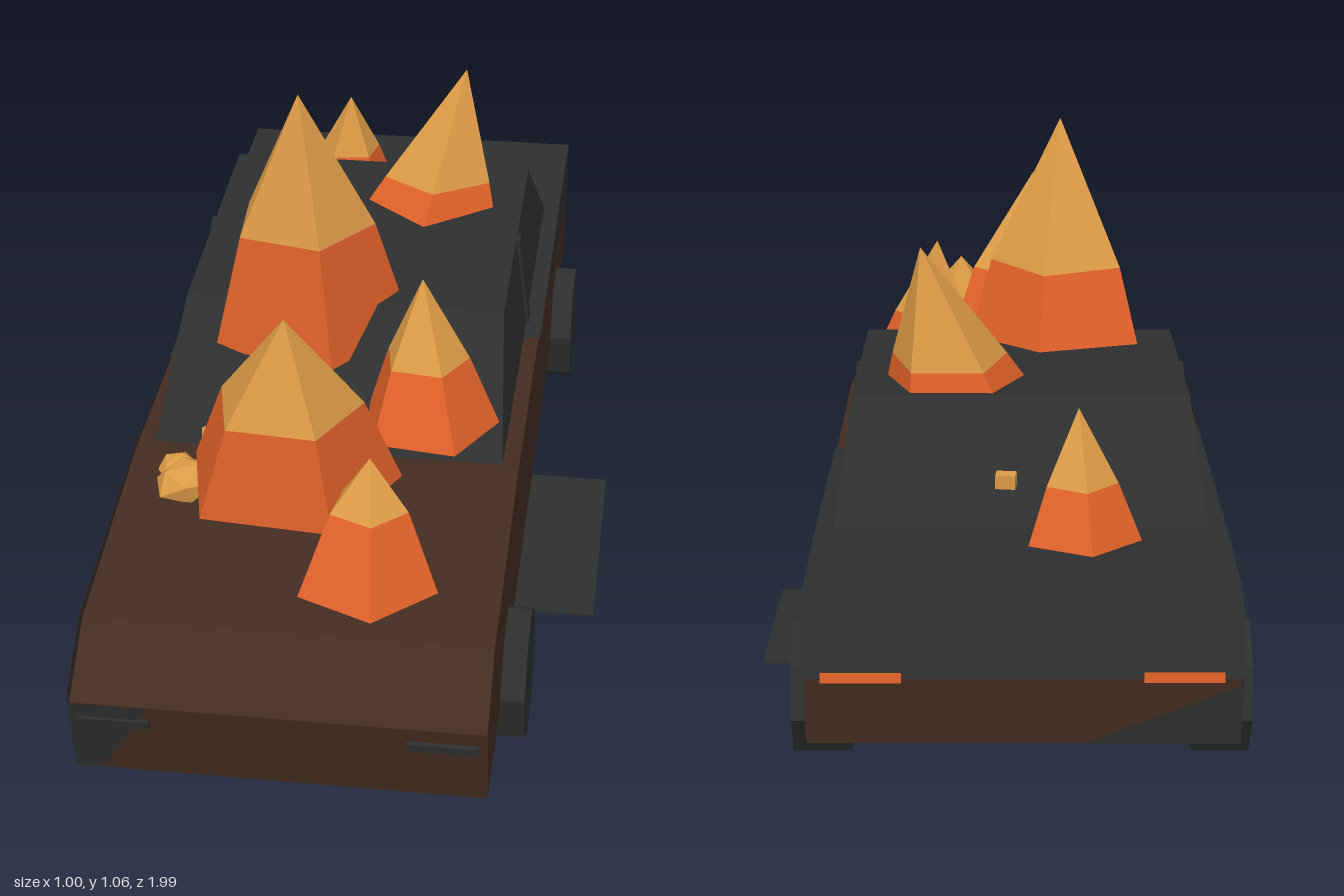
import * as THREE from 'three';

const flat = (color, name) => {
  const m = new THREE.MeshStandardMaterial({ color, flatShading: true, side: THREE.DoubleSide });
  m.name = name;
  return m;
};

export function createModel() {
  const rust = flat(0x432c20, 'rust brown');
  const char = flat(0x2d2e2e, 'charred grey');
  const orange = flat(0xe2622a, 'flame orange');
  const yellow = flat(0xdc9a46, 'flame yellow');

  const root = new THREE.Group();
  root.name = 'burningCarWreck';
  const add = (parent, name, geo, mat, x = 0, y = 0, z = 0) => {
    const m = new THREE.Mesh(geo, mat);
    m.name = name;
    m.position.set(x, y, z);
    parent.add(m);
    return m;
  };

  // Car frame: turned a little and nose down
  const car = new THREE.Group();
  car.name = 'car';
  car.position.set(-0.022, 0.189, 0);
  car.rotation.set(0.092, 0.117, 0, 'YXZ');
  root.add(car);

  const W = 0.352;
  const shapeOf = pts => new THREE.Shape(pts.map(p => new THREE.Vector2(p[0], p[1])));

  // Body shell: side profile in (z, y), swept across the width
  const profile = [
    [0.927, 0], [0.951, 0.159], [0.828, 0.243], [0.38, 0.285], [-0.17, 0.268],
    [-0.635, 0.265], [-0.943, 0.25], [-0.972, 0.122], [-0.943, 0],
  ];
  const body = new THREE.ExtrudeGeometry(shapeOf(profile), { depth: 2 * W, bevelEnabled: false });
  body.rotateY(-Math.PI / 2);
  add(car, 'bodyShell', body, rust, W);

  // Burnt patches on the sides
  const sidePatch = (name, pts, mat, x) => {
    const g = new THREE.ShapeGeometry(shapeOf(pts));
    g.rotateY(-Math.PI / 2);
    add(car, name, g, mat, x);
  };
  sidePatch('leftSoot', [[-0.17, 0.268], [-0.635, 0.265], [-0.943, 0.25], [-0.972, 0.122]], char, W + 0.003);
  sidePatch('rightSoot', profile, char, -W - 0.003);
  sidePatch('rightBarePaint', [
    [0.35, 0.283], [-0.1, 0.21], [-0.46, 0.12], [-0.25, 0.08],
    [0.4, 0.135], [0.948, 0.16], [0.828, 0.243],
  ], rust, -W - 0.006);

  // Burnt patches on the top and ends, as convex fans
  const patch = (name, pts, mat) => {
    const pos = [];
    for (let i = 1; i < pts.length - 1; i++) pos.push(...pts[0], ...pts[i], ...pts[i + 1]);
    const g = new THREE.BufferGeometry();
    g.setAttribute('position', new THREE.Float32BufferAttribute(pos, 3));
    g.computeVertexNormals();
    add(car, name, g, mat);
  };
  const w = W + 0.003;
  patch('shoulderSoot', [[-w, 0.277, 0.06], [w, 0.272, -0.1], [w, 0.269, -0.635], [-w, 0.269, -0.635]], char);
  patch('bootLid', [[-w, 0.269, -0.635], [w, 0.269, -0.635], [w, 0.254, -0.946], [-w, 0.254, -0.946]], char);
  patch('upperTail', [[-w, 0.254, -0.946], [w, 0.254, -0.946], [w, 0.122, -0.976], [-w, 0.122, -0.976]], char);
  patch('tailCornerSoot', [[-w, 0.11, -0.973], [-w, 0, -0.947], [-0.1, 0, -0.947]], char);
  patch('noseCornerSoot', [[-w, 0.159, 0.954], [-0.22, 0.159, 0.954], [-0.31, 0, 0.93], [-w, 0, 0.93]], char);

  // Cabin: a box tapered to the roof
  const cabin = new THREE.BoxGeometry(1, 1, 1);
  const cp = cabin.attributes.position;
  for (let i = 0; i < cp.count; i++) {
    const top = cp.getY(i) > 0, front = cp.getZ(i) > 0;
    cp.setXYZ(i, Math.sign(cp.getX(i)) * (top ? 0.3 : 0.326), top ? 0.46 : 0.245,
      front ? (top ? 0.115 : 0.41) : (top ? -0.442 : -0.65));
  }
  add(car, 'cabin', cabin, char);

  // Door pillars, lamps, wheels
  for (const s of [-1, 1]) {
    const pillar = add(car, 'doorPillar', new THREE.BoxGeometry(0.008, 0.19, 0.03), char, s * 0.314, 0.363, -0.17);
    pillar.rotation.z = s * 0.12;
    const lamp = add(car, 'headlamp', new THREE.BoxGeometry(0.12, 0.016, 0.009), char, s * 0.278, 0.122, 0.949);
    lamp.rotation.x = 0.15;
    add(car, 'tailLamp', new THREE.BoxGeometry(0.13, 0.016, 0.009), orange, s * 0.26, 0.124, -0.974);
    for (const z of [0.577, -0.617]) {
      if (s < 0 && z > 0) continue;
      const tyre = new THREE.CylinderGeometry(0.123, 0.123, 0.1, 8);
      tyre.rotateY(0.25);
      tyre.rotateZ(Math.PI / 2);
      add(car, 'wheel', tyre, char, s * 0.345, -0.011, z);
    }
  }
  // Bare hub in place of the missing wheel
  add(car, 'brokenHub', new THREE.BoxGeometry(0.13, 0.135, 0.17), char, -0.335, -0.03, 0.59);

  // Fallen doors under the car
  for (const [x, y, z] of [[0.305, 0.058, -0.02], [-0.07, 0.055, 0.04]]) {
    const door = add(root, 'fallenDoor', new THREE.BoxGeometry(0.335, 0.004, 0.45), char, x, y, z);
    door.rotation.set(0.092, 0.117, 0, 'YXZ');
  }

  // Flames: five-sided, orange skirt and yellow tip, leaning to the apex
  const flame = (base, rBase, yMid, rMid, apex, turn) => {
    const g = new THREE.Group();
    g.name = 'flame';
    root.add(g);
    const [bx, by, bz] = base, [ax, ay, az] = apex;
    const section = (name, y0, r0, y1, r1, mat) => {
      const geo = new THREE.CylinderGeometry(r1, r0, y1 - y0, 5, 1, name === 'flameTip');
      geo.rotateY(turn);
      geo.translate(0, (y0 + y1) / 2, 0);
      const p = geo.attributes.position;
      for (let i = 0; i < p.count; i++) {
        const t = (p.getY(i) - by) / (ay - by);
        p.setX(i, p.getX(i) + bx + (ax - bx) * t);
        p.setZ(i, p.getZ(i) + bz + (az - bz) * t);
      }
      add(g, name, geo, mat);
    };
    section('flameSkirt', by, rBase, yMid, rMid, orange);
    section('flameTip', yMid, rMid, ay, 0, yellow);
  };
  flame([-0.09, 0.56, 0.11], 0.2, 0.79, 0.135, [-0.08, 1.06, 0.19], 0.5);
  flame([0.0, 0.475, 0.55], 0.2, 0.65, 0.135, [0.02, 0.84, 0.64], 0.65);
  flame([0.19, 0.41, 0.74], 0.125, 0.545, 0.07, [0.185, 0.63, 0.70], 0.3);
  flame([0.2, 0.5, 0.33], 0.13, 0.625, 0.08, [0.18, 0.775, 0.3], 0.6);
  flame([0.05, 0.61, -0.28], 0.16, 0.72, 0.11, [0.12, 0.935, -0.325], 0.1);
  flame([-0.2, 0.5, -0.63], 0.11, 0.615, 0.065, [-0.19, 0.74, -0.6], 0.9);

  // Embers on the bonnet and rear window
  const embers = [
    [-0.2, 0.435, 0.53, 0.055, 0.4], [-0.13, 0.445, 0.49, 0.055, 1.3],
    [-0.16, 0.465, 0.43, 0.05, 2.2], [-0.235, 0.43, 0.48, 0.035, 0.9],
  ];
  for (const [x, y, z, r, turn] of embers) {
    const e = add(root, 'ember', new THREE.IcosahedronGeometry(r, 0), yellow, x, y, z);
    e.scale.set(1.1, 0.65, 0.95);
    e.rotation.set(0.2, turn, 0.15);
  }
  add(root, 'spark', new THREE.BoxGeometry(0.035, 0.025, 0.025), yellow, -0.06, 0.585, -0.55);

  return root;
}
